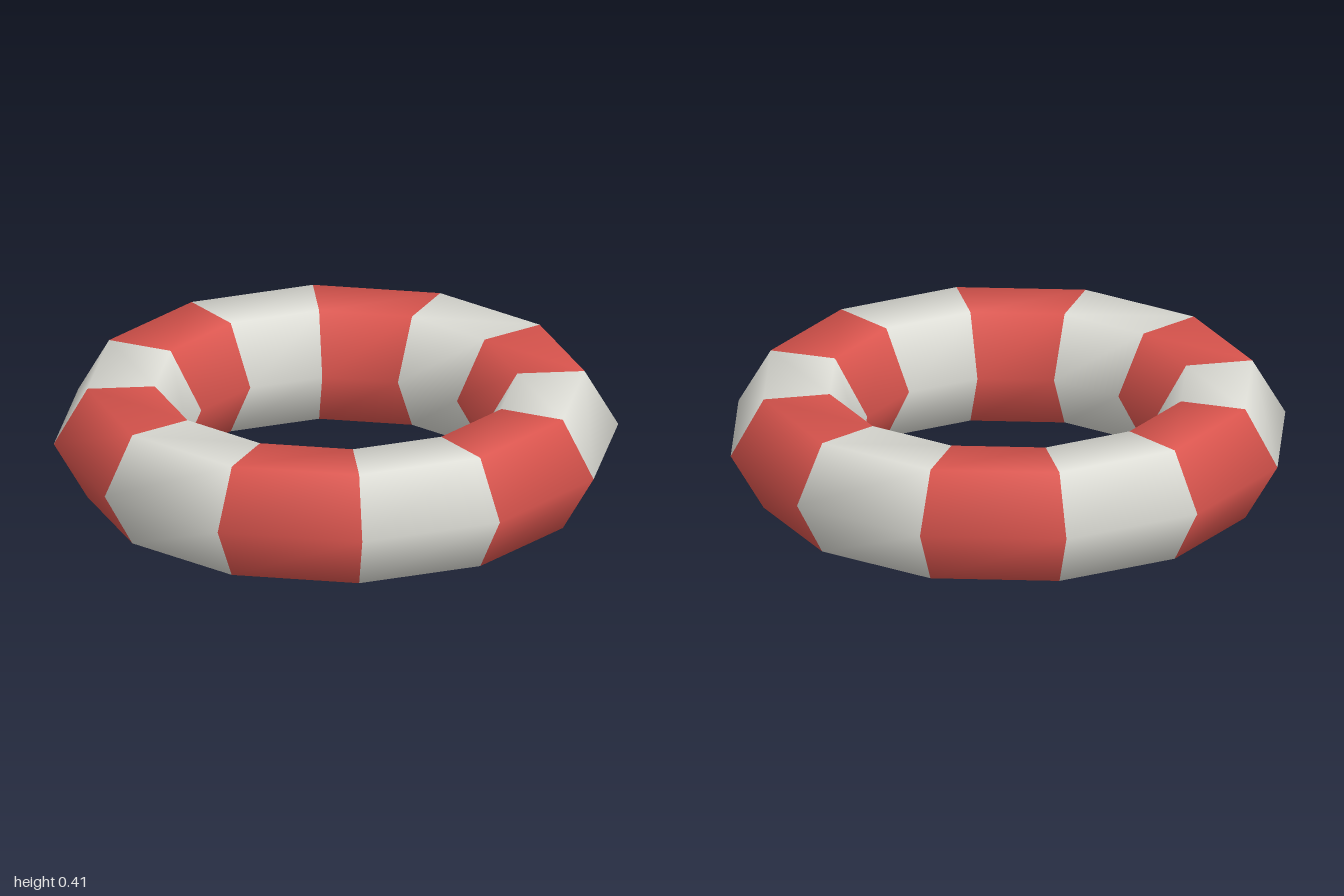
import * as THREE from 'three';

export function createModel() {
  const model = new THREE.Group();
  model.name = 'lifeRing';

  const red = new THREE.MeshStandardMaterial({ color: 0xd9544d });
  red.name = 'red';
  const white = new THREE.MeshStandardMaterial({ color: 0xdcdcd5 });
  white.name = 'offWhite';

  // Twelve straight segments of a six-sided tube, alternating in colour
  const count = 12, sides = 6, tube = 0.2385, ring = 1 - tube;
  const step = (Math.PI * 2) / count;
  const segment = new THREE.TorusGeometry(ring, tube, sides, 1, step);
  segment.rotateX(Math.PI / 2);

  for (let i = 0; i < count; i++) {
    const isRed = i % 2 === 0;
    const mesh = new THREE.Mesh(segment, isRed ? red : white);
    mesh.name = (isRed ? 'redSegment' : 'whiteSegment') + (Math.floor(i / 2) + 1);
    mesh.rotation.y = -i * step;
    // Flat underside rests on the ground
    mesh.position.y = tube * Math.sin(Math.PI / 3);
    model.add(mesh);
  }
  return model;
}
